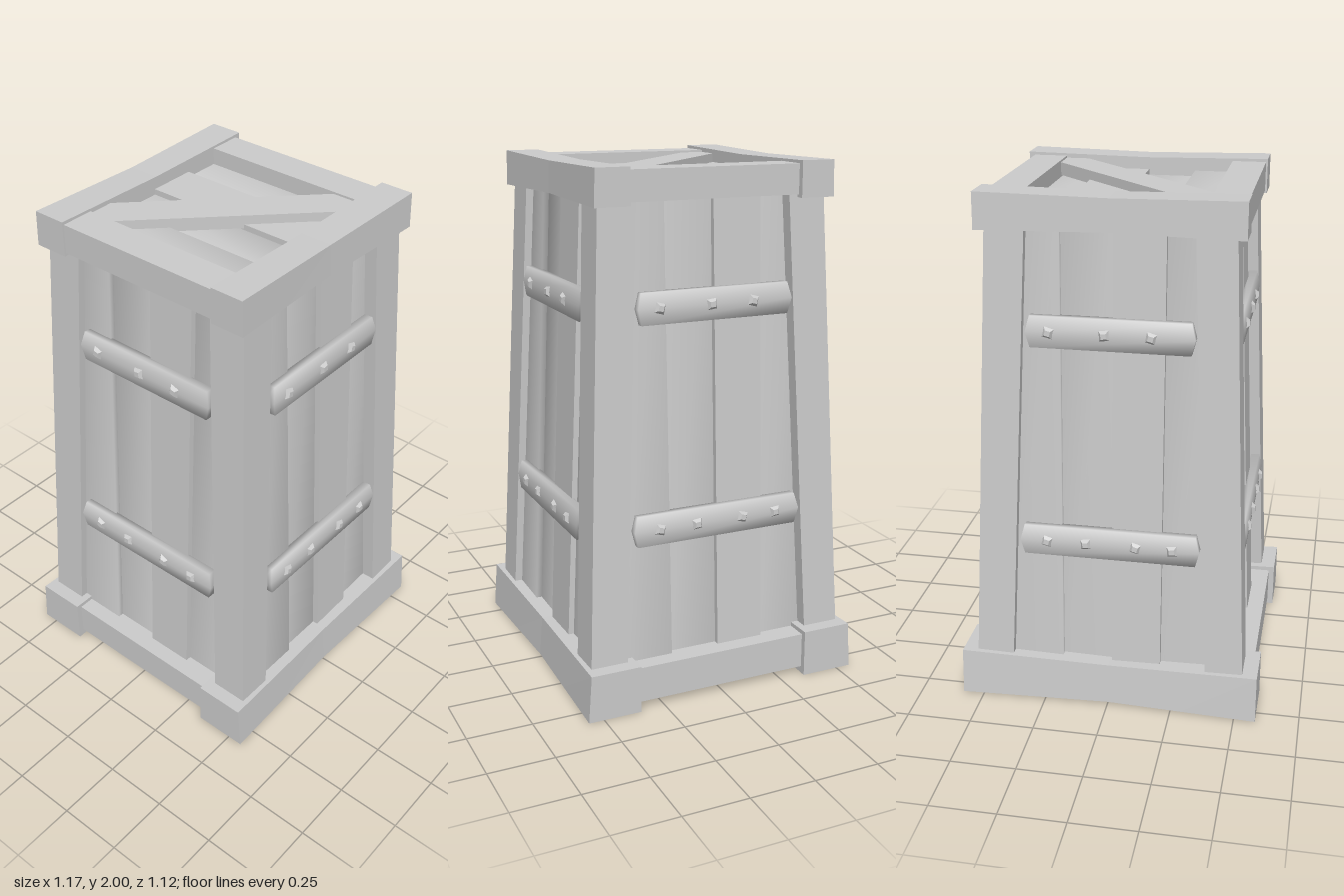
import * as THREE from 'three';
import { mergeVertices } from 'three/addons/utils/BufferGeometryUtils.js';

const LEAN = 0.0446;                 // inward lean of the walls per unit of height
const FOOT = 0.533;                  // outer wall distance at y = 0
const wall = (y) => FOOT - LEAN * y;

const flatMat = new THREE.MeshStandardMaterial({ color: 0xcccccc, flatShading: true });
const softMat = new THREE.MeshStandardMaterial({ color: 0xcccccc });

function add(parent, name, geo, mat = flatMat) {
  const mesh = new THREE.Mesh(geo, mat);
  mesh.name = name;
  parent.add(mesh);
  return mesh;
}

// Apply a rule to every vertex
function bend(geo, rule) {
  const p = geo.attributes.position;
  const v = new THREE.Vector3();
  for (let i = 0; i < p.count; i++) {
    v.fromBufferAttribute(p, i);
    rule(v);
    p.setXYZ(i, v.x, v.y, v.z);
  }
  geo.computeVertexNormals();
  return geo;
}

// Share vertices so normals run smoothly around the edges
function soften(geo) {
  geo.deleteAttribute('normal');
  geo.deleteAttribute('uv');
  const merged = mergeVertices(geo);
  merged.computeVertexNormals();
  return merged;
}

function box(x0, x1, y0, y1, z0, z1, sx = 1, sy = 1, sz = 1) {
  return new THREE.BoxGeometry(x1 - x0, y1 - y0, z1 - z0, sx, sy, sz)
    .translate((x0 + x1) / 2, (y0 + y1) / 2, (z0 + z1) / 2);
}

// Four boards side by side, alternately raised and sunk; the flat one is third
function addPlanks(parent, edges, y0, y1, face, lean) {
  for (let i = 0; i < 4; i++) {
    const front = face - (i % 2 ? 0.022 : 0);
    let geo = box(edges[i], edges[i + 1], y0, y1, front - 0.045, front);
    const soft = i !== 2;
    if (soft) {
      const idx = Array.from(geo.index.array);   // drop the hidden end caps
      geo.setIndex([...idx.slice(0, 12), ...idx.slice(24)]);
      geo = soften(geo);
    }
    bend(geo, (v) => { v.z -= lean * v.y; });
    add(parent, 'plank', geo, soft ? softMat : flatMat);
  }
}

// Metal strap with pointed ends and a ridged face, plus its bolts
function addStrap(parent, y, half, bolts) {
  const strap = new THREE.Group();
  strap.name = 'strap';
  let geo = new THREE.BoxGeometry(2 * half - 0.03, 0.118, 0.035, 1, 2, 1);
  geo = soften(geo);
  bend(geo, (v) => {
    if (Math.abs(v.y) < 0.01) {
      v.x += Math.sign(v.x) * 0.015;
      if (v.z > 0) v.z += 0.008;
    }
  });
  add(strap, 'strapBand', geo, softMat).position.z = -0.02;
  bolts.forEach((x, i) => {
    const bolt = add(strap, 'bolt', new THREE.CylinderGeometry(0.014, 0.03, 0.016, 4));
    bolt.rotation.set(Math.PI / 2, Math.PI / 4 + (i % 2 ? 0.1 : -0.25), 0);
    bolt.position.set(x, 0, 0.008);
  });
  strap.position.set(0.003, y, wall(y));
  strap.rotation.x = -Math.atan(LEAN);
  parent.add(strap);
}

// Long beam along x that narrows slightly toward its middle
function beam(half, y0, y1, z0, z1, pinch, lean) {
  const my = (y0 + y1) / 2;
  const mz = (z0 + z1) / 2;
  return bend(box(-half, half, y0, y1, z0, z1, 4), (v) => {
    const k = pinch * (1 - Math.abs(v.x) / half);
    if (v.z > mz) v.z -= k + lean * (v.y - y0);
    v.y -= Math.sign(v.y - my) * k;
  });
}

export function createModel() {
  const crate = new THREE.Group();
  crate.name = 'crate';

  // Four leaning walls
  ['front', 'right', 'back', 'left'].forEach((side, k) => {
    const panel = new THREE.Group();
    panel.name = side + 'Wall';
    addPlanks(panel, [-0.405, -0.185, 0.01, 0.2, 0.405], 0.08, 1.94, FOOT - 0.03, LEAN);
    addStrap(panel, 1.5, 0.31, [-0.225, -0.02, 0.15]);
    addStrap(panel, 0.68, 0.343, [-0.24, -0.09, 0.1, 0.24]);
    panel.rotation.y = k * Math.PI / 2;
    crate.add(panel);
  });

  // Corner posts, leaning inward both ways
  for (const sx of [-1, 1]) {
    for (const sz of [-1, 1]) {
      const post = new THREE.BoxGeometry(0.145, 1.84, 0.145).translate(0, 1.0, 0);
      bend(post, (v) => {
        const c = wall(v.y) - 0.0725;
        v.x += sx * c;
        v.z += sz * c;
      });
      add(crate, 'cornerPost', post);
    }
  }

  // Base and top frames
  for (const [name, turn] of [['front', 0], ['back', Math.PI]]) {
    add(crate, name + 'BaseBeam', beam(0.583, 0, 0.184, 0.35, 0.56, 0.012, 0.07)).rotation.y = turn;
    add(crate, name + 'TopBeam', beam(0.483, 1.865, 2.0, 0.338, 0.473, 0.008, 0.03)).rotation.y = turn;
  }
  for (const s of [-1, 1]) {
    const base = box(-0.105, 0.105, 0.028, 0.166, -0.37, 0.37);
    bend(base, (v) => { v.x += s * 0.455; });
    add(crate, 'sideBaseBeam', base);
    const top = box(-0.066, 0.066, 1.876, 1.988, -0.36, 0.36);
    bend(top, (v) => { v.x += s > 0 ? 0.394 : -0.41; });
    add(crate, 'sideTopBeam', top);
  }

  // Lid and floor boards
  const edges = [-0.4, -0.195, -0.01, 0.18, 0.39];
  const lid = new THREE.Group();
  lid.name = 'lid';
  addPlanks(lid, edges, -0.39, 0.39, 1.945, 0);
  lid.rotation.x = -Math.PI / 2;
  crate.add(lid);
  const floor = new THREE.Group();
  floor.name = 'floor';
  addPlanks(floor, edges, -0.4, 0.4, -0.06, 0);
  floor.rotation.x = Math.PI / 2;
  crate.add(floor);

  // Diagonal brace across the lid
  const outline = [[-0.35, 0.35], [-0.35, 0.25], [0.25, -0.35], [0.335, -0.35], [0.335, -0.24], [-0.255, 0.35]];
  const brace = new THREE.ExtrudeGeometry(
    new THREE.Shape(outline.map(([x, y]) => new THREE.Vector2(x, y))),
    { depth: 0.05, bevelEnabled: false });
  const braceMesh = add(crate, 'diagonalBrace', brace);
  braceMesh.rotation.x = -Math.PI / 2;
  braceMesh.position.y = 1.93;

  return crate;
}
